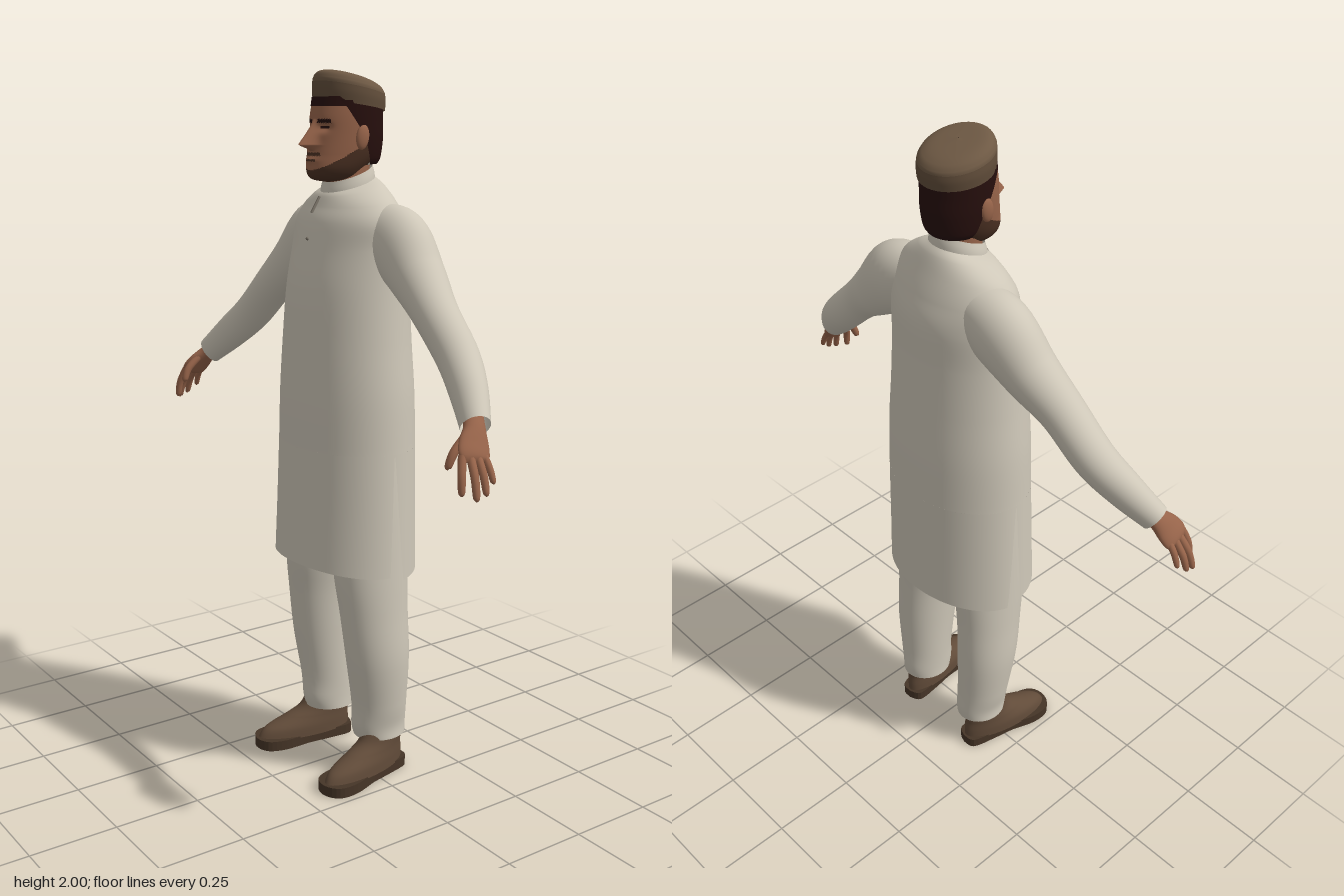
import * as THREE from 'three';
import { ParametricGeometry } from 'three/addons/geometries/ParametricGeometry.js';

const material = (name, color, side = THREE.FrontSide) => {
  const m = new THREE.MeshStandardMaterial({ color, side });
  m.name = name;
  return m;
};

// Smooth interpolation through rows of numbers, t from 0 to 1
function sample(rows, t) {
  const n = rows.length - 1, f = t * n;
  const i = Math.min(Math.floor(f), n - 1), k = f - i;
  const p0 = rows[Math.max(i - 1, 0)], p1 = rows[i], p2 = rows[i + 1], p3 = rows[Math.min(i + 2, n)];
  return p1.map((b, j) => {
    const a = p0[j], c = p2[j], d = p3[j];
    return b + 0.5 * k * (c - a + k * (2 * a - 5 * b + 4 * c - d + k * (3 * (b - c) + d - a)));
  });
}

// Stacked horizontal ovals. Row: y, centre z, half width, half depth, tilt, centre x
function loft(rows, { slices = 40, stacks = 32, range = () => [0, Math.PI * 2], warp } = {}) {
  const full = rows.map(r => [...r, 0, 0].slice(0, 6));
  return new ParametricGeometry((u, v, p) => {
    const [y, zc, rx, rz, tilt, xc] = sample(full, v);
    const [a0, a1] = range(v);
    const a = a0 + (a1 - a0) * u;
    p.set(xc + Math.max(rx, 0.001) * Math.sin(a), y + tilt * Math.cos(a), zc + Math.max(rz, 0.001) * Math.cos(a));
    if (warp) warp(p, a, v);
  }, slices, stacks);
}

// Oval tube along a path. Row: x, y, z, half thickness, half width along z
function limb(rows, slices = 28, stacks = 30) {
  const at = t => new THREE.Vector3(...sample(rows, t).slice(0, 3));
  return new ParametricGeometry((u, v, p) => {
    const [x, y, z, ra, rb] = sample(rows, v);
    const tangent = at(Math.min(v + 0.01, 1)).sub(at(Math.max(v - 0.01, 0))).normalize();
    const across = new THREE.Vector3(0, 0, 1).addScaledVector(tangent, -tangent.z).normalize();
    const out = across.clone().cross(tangent);
    const a = u * Math.PI * 2;
    p.set(x, y, z).addScaledVector(out, Math.max(ra, 0.0008) * Math.cos(a))
      .addScaledVector(across, Math.max(rb, 0.0008) * Math.sin(a));
  }, slices, stacks);
}

// Sort triangles into material groups by a rule on their centres
function paint(geometry, count, rule) {
  const buckets = Array.from({ length: count }, () => []);
  const pos = geometry.attributes.position, index = geometry.index.array;
  const c = new THREE.Vector3(), q = new THREE.Vector3();
  for (let i = 0; i < index.length; i += 3) {
    c.set(0, 0, 0);
    for (let j = 0; j < 3; j++) c.add(q.fromBufferAttribute(pos, index[i + j]));
    buckets[rule(c.divideScalar(3))].push(index[i], index[i + 1], index[i + 2]);
  }
  let start = 0;
  buckets.forEach((b, m) => { geometry.addGroup(start, b.length, m); start += b.length; });
  geometry.setIndex(buckets.flat());
  return geometry;
}

export function createModel() {
  const model = new THREE.Group();
  model.name = 'standingMan';
  const cloth = material('creamCloth', 0xcec7b8, THREE.DoubleSide);
  const seam = material('seam', 0x7d766a);
  const skin = material('skin', 0x97644a);
  const beard = material('beard', 0x4a3022);
  const hair = material('darkHair', 0x260f0d, THREE.DoubleSide);
  const capTop = material('capBrown', 0x6e5944);
  const capBand = material('capBandBrown', 0x614d3a, THREE.DoubleSide);
  const leather = material('leather', 0x614b39);
  const soleMat = material('sole', 0x463527);
  const add = (name, geometry, mat, parent = model) => {
    const mesh = new THREE.Mesh(geometry, mat);
    mesh.name = name;
    parent.add(mesh);
    return mesh;
  };

  // Tunic body, collar and the two skirt panels parted by side slits
  add('tunicBody', loft([
    [0.98, -0.014, 0.23, 0.174, 0], [1.13, -0.0145, 0.225, 0.17, 0], [1.28, -0.0145, 0.212, 0.1625, 0],
    [1.42, -0.0175, 0.203, 0.1535, 0], [1.53, -0.0275, 0.2, 0.14, 0], [1.6, -0.027, 0.198, 0.121, 0],
    [1.65, -0.025, 0.165, 0.1, -0.01], [1.685, -0.022, 0.115, 0.084, -0.018], [1.7, -0.018, 0.078, 0.072, -0.022],
  ], { slices: 56, stacks: 48 }), cloth);
  add('collar', loft([[1.69, -0.018, 0.079, 0.074, -0.022], [1.71, -0.018, 0.076, 0.072, -0.025], [1.73, -0.018, 0.07, 0.067, -0.025]],
    { stacks: 6 }), cloth);
  const skirt = [[0.63, -0.008, 0.24, 0.183], [0.8, -0.011, 0.235, 0.178], [0.98, -0.014, 0.23, 0.174]];
  const hem = (p, a, v) => { p.y += (1 - v) * (0.018 * Math.cos(a) ** 2 - (Math.cos(a) < 0 ? 0.016 : 0)); };
  const h = Math.PI / 2;
  add('frontSkirt', loft(skirt, { warp: hem, range: v => [-h + 0.07 * (1 - v), h - 0.07 * (1 - v)] }), cloth);
  add('backSkirt', loft(skirt, { warp: hem, range: v => [h + 0.2 * (1 - v), 3 * h - 0.2 * (1 - v)] }), cloth);

  // Neck opening and button
  const placket = add('placketSeam', new THREE.BoxGeometry(0.005, 0.05, 0.006), seam);
  placket.position.set(-0.015, 1.645, 0.078);
  placket.rotation.x = -0.55;
  add('button', new THREE.SphereGeometry(0.005, 12, 8), seam).position.set(-0.012, 1.555, 0.107);

  for (const s of [1, -1]) {
    const side = s > 0 ? 'left' : 'right';
    const mirror = rows => rows.map(([x, ...rest]) => [s * x, ...rest]);

    // Sleeve
    add(side + 'Sleeve', limb(mirror([
      [0.09, 1.585, -0.045, 0.07, 0.07], [0.19, 1.545, -0.05, 0.1, 0.08], [0.29, 1.463, -0.04, 0.078, 0.073],
      [0.385, 1.385, -0.022, 0.061, 0.061], [0.49, 1.29, -0.01, 0.057, 0.056], [0.57, 1.22, 0.02, 0.053, 0.048],
      [0.645, 1.15, 0.06, 0.042, 0.037],
    ]), 36, 48), cloth);

    // Hand with four fingers and a thumb
    const hand = new THREE.Group();
    hand.name = side + 'Hand';
    model.add(hand);
    add('palm', limb(mirror([
      [0.615, 1.18, 0.045, 0.022, 0.026], [0.648, 1.145, 0.066, 0.021, 0.03], [0.67, 1.115, 0.085, 0.018, 0.042],
      [0.688, 1.088, 0.1, 0.014, 0.042], [0.696, 1.074, 0.105, 0.001, 0.02],
    ])), skin, hand);
    const finger = (name, a, m, b, r) => add(name,
      limb(mirror([[...a, r, r], [...m, r, r], [...b, r * 0.8, r * 0.8], [b[0], b[1] - 0.006, b[2], 0.001, 0.001]]), 12, 14), skin, hand);
    finger('indexFinger', [0.68, 1.095, 0.13], [0.696, 1.05, 0.144], [0.702, 1.01, 0.148], 0.0105);
    finger('middleFinger', [0.686, 1.092, 0.11], [0.716, 1.047, 0.12], [0.731, 1.001, 0.126], 0.0105);
    finger('ringFinger', [0.688, 1.092, 0.09], [0.718, 1.05, 0.095], [0.733, 1.01, 0.098], 0.01);
    finger('littleFinger', [0.685, 1.096, 0.07], [0.71, 1.063, 0.07], [0.724, 1.032, 0.069], 0.009);
    finger('thumb', [0.653, 1.135, 0.095], [0.655, 1.098, 0.135], [0.653, 1.065, 0.15], 0.0115);

    // Trouser leg
    add(side + 'TrouserLeg', loft([
      [1.0, -0.01, 0.1, 0.12, 0, 0.1], [0.8, -0.012, 0.097, 0.117, 0, 0.112], [0.62, -0.013, 0.092, 0.113, 0, 0.123],
      [0.5, -0.018, 0.086, 0.104, 0, 0.132], [0.36, -0.028, 0.084, 0.096, 0, 0.137], [0.22, -0.038, 0.075, 0.084, 0, 0.132],
      [0.15, -0.04, 0.069, 0.084, 0, 0.127], [0.115, -0.043, 0.07, 0.078, 0, 0.127],
    ].reverse().map(r => [...r.slice(0, 5), s * r[5]])), cloth);

    // Shoe turned slightly outwards
    const shoe = new THREE.Group();
    shoe.name = side + 'Shoe';
    shoe.position.set(s * 0.157, 0, 0.036);
    shoe.rotation.y = s * 0.17;
    model.add(shoe);
    add('shoeUpper', loft([
      [0.026, 0, 0.053, 0.15], [0.055, -0.012, 0.051, 0.138], [0.083, -0.045, 0.045, 0.103],
      [0.11, -0.07, 0.042, 0.078], [0.16, -0.078, 0.042, 0.06],
    ]), leather, shoe);
    const half = [[0.035, -0.142], [0.043, -0.07], [0.046, 0], [0.058, 0.08], [0.045, 0.137]];
    const outline = [[0, -0.157], ...half, [0, 0.157], ...half.map(([x, z]) => [-x, z]).reverse(), [0, -0.157]];
    const shape = new THREE.Shape(new THREE.SplineCurve(outline.map(([x, z]) => new THREE.Vector2(x, -z))).getPoints(48));
    add('shoeSole', new THREE.ExtrudeGeometry(shape, { depth: 0.03, bevelEnabled: false }).rotateX(-h), soleMat, shoe);

    // Ear
    const ear = add(side + 'Ear', new THREE.SphereGeometry(1, 16, 12), skin);
    ear.scale.set(0.011, 0.034, 0.02);
    ear.position.set(s * 0.089, 1.825, -0.004);
    ear.rotation.x = -0.15;
  }

  // Neck, and head with a modelled nose, eye sockets, brows and beard
  add('neck', loft([[1.66, -0.018, 0.064, 0.062], [1.7, -0.015, 0.059, 0.061], [1.75, -0.015, 0.06, 0.065]], { stacks: 8 }), skin);
  const face = (p) => {
    if (p.z < 0.03) return;
    const d = p.y - 1.805;
    const nose = Math.max(0, d > 0 ? 1 - d / 0.065 : 1 + d / 0.016);
    const socket = Math.exp(-(((Math.abs(p.x) - 0.032) / 0.017) ** 2) - ((p.y - 1.85) / 0.012) ** 2);
    const lips = Math.exp(-((p.x / 0.024) ** 2) - ((p.y - 1.765) / 0.009) ** 2);
    p.z += 0.046 * nose * Math.exp(-((p.x / (0.01 + 0.007 * nose)) ** 2)) - 0.012 * socket + 0.006 * lips;
  };
  const headRows = [
    [1.706, 0.035, 0.012, 0.02], [1.715, 0.028, 0.048, 0.068], [1.74, 0.023, 0.068, 0.084], [1.78, 0.003, 0.08, 0.099],
    [1.83, -0.004, 0.086, 0.098], [1.88, -0.01, 0.089, 0.099], [1.93, -0.016, 0.088, 0.094],
  ];
  const features = ({ x, y, z }) => {
    const ax = Math.abs(x);
    if (z > 0.03) {
      if (ax > 0.012 && ax < 0.052 && y > 1.862 && y < 1.872) return 2;
      if (Math.abs(ax - 0.031) < 0.012 && Math.abs(y - 1.85) < 0.004) return 2;
      if (ax < 0.032 && y > 1.776 && y < 1.785) return 1;
      if (ax < 0.022 && Math.abs(y - 1.764) < 0.003) return 1;
    }
    return y < 1.742 + (0.1 - z) * 0.55 && y < 1.81 ? 1 : 0;
  };
  add('head', paint(loft(headRows, { slices: 112, stacks: 90, warp: face }), 3, features), [skin, beard, hair]);

  // Hair around the back and temples
  add('hair', loft([
    [1.752, -0.03, 0.07, 0.07], [1.77, -0.022, 0.083, 0.088], [1.82, -0.018, 0.091, 0.099],
    [1.87, -0.016, 0.0935, 0.1], [1.92, -0.016, 0.094, 0.1],
  ], { range: v => { const a = 1.75 - 0.95 * v * v; return [a, Math.PI * 2 - a]; } }), hair);
  add('hairline', loft([[1.905, -0.013, 0.0905, 0.0985], [1.93, -0.016, 0.091, 0.097]], { stacks: 2, range: () => [-1, 1] }), hair);

  // Round cap, higher at the front
  add('capBand', loft([[1.905, -0.022, 0.097, 0.098, 0.015], [1.93, -0.022, 0.099, 0.1, 0.018], [1.95, -0.0215, 0.0975, 0.099, 0.021]],
    { stacks: 8 }), capBand);
  add('capCrown', loft([
    [1.949, -0.0215, 0.0975, 0.099, 0.021], [1.96, -0.021, 0.095, 0.097, 0.022], [1.974, -0.02, 0.084, 0.086, 0.022],
    [1.983, -0.018, 0.058, 0.06, 0.016], [1.987, -0.015, 0.002, 0.002, 0],
  ]), capTop);

  return model;
}
